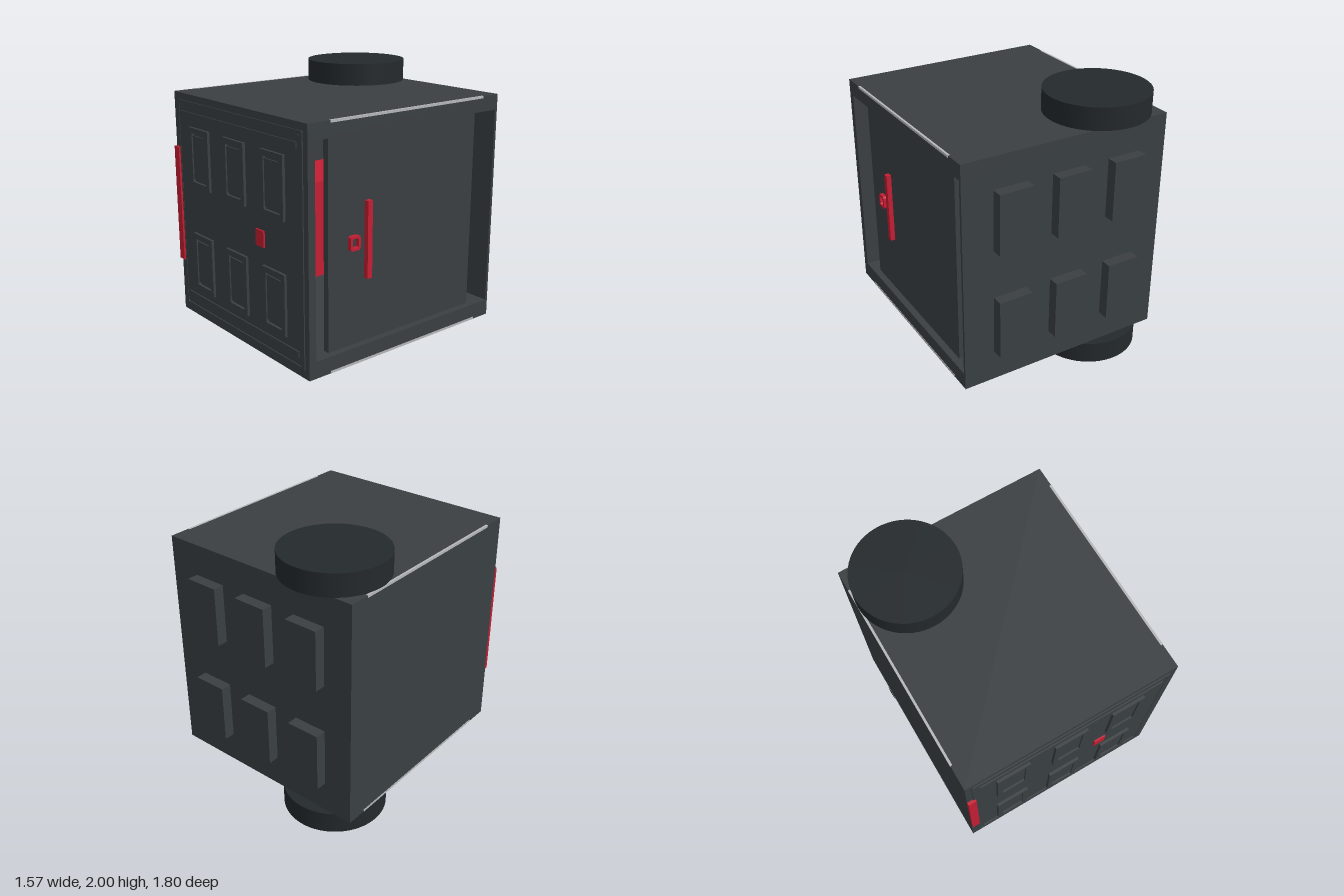
import * as THREE from 'three';

const mat = (color) => new THREE.MeshStandardMaterial({ color });
const shellMat = mat(0x3a3f42), discMat = mat(0x24292c), redMat = mat(0xc41e33), trimMat = mat(0xb4b6b8);

// Rectangle outline with rounded corners, centred on the origin
function roundRect(w, h, r, Path = THREE.Shape) {
  const p = new Path(), x = w / 2, y = h / 2;
  p.moveTo(-x + r, -y);
  p.lineTo(x - r, -y).quadraticCurveTo(x, -y, x, -y + r);
  p.lineTo(x, y - r).quadraticCurveTo(x, y, x - r, y);
  p.lineTo(-x + r, y).quadraticCurveTo(-x, y, -x, y - r);
  p.lineTo(-x, -y + r).quadraticCurveTo(-x, -y, -x + r, -y);
  return p;
}

// Flat frame of the given depth, lying in the xy plane
function frameGeometry(w, h, border, depth, r) {
  const shape = roundRect(w, h, r);
  shape.holes.push(roundRect(w - 2 * border, h - 2 * border, r * 0.7, THREE.Path));
  return new THREE.ExtrudeGeometry(shape, { depth, bevelEnabled: false, curveSegments: 5 });
}

export function createModel() {
  const model = new THREE.Group();
  const add = (name, geometry, material, x = 0, y = 0, z = 0) => {
    const mesh = new THREE.Mesh(geometry, material);
    mesh.name = name;
    mesh.position.set(x, y, z);
    model.add(mesh);
    return mesh;
  };
  // Box given by its limits on each axis
  const box = (name, material, [x0, x1], [y0, y1], [z0, z1]) =>
    add(name, new THREE.BoxGeometry(x1 - x0, y1 - y0, z1 - z0), material,
      (x0 + x1) / 2, (y0 + y1) / 2, (z0 + z1) / 2);

  // Hollow cabin, open on its left side
  const X = [-0.785, 0.785], Z = [-0.82, 0.875];
  box('floor', shellMat, X, [0.16, 0.28], Z);
  box('roof', shellMat, X, [1.73, 1.84], Z);
  box('frontWall', shellMat, X, [0.28, 1.73], [0.82, 0.875]);
  box('backWall', shellMat, X, [0.28, 1.73], [-0.82, -0.8]);
  box('sideWall', shellMat, [-0.785, -0.73], [0.28, 1.73], [-0.8, 0.82]);

  // Pale trim along the long side edges
  for (const s of [-1, 1])
    for (const y of [0.168, 1.833])
      box('edgeTrim', trimMat, [s * 0.779 - 0.008, s * 0.779 + 0.008],
        [y - 0.0085, y + 0.0085], [-0.67, 0.7]);

  // Sliding door with handle and latch ring
  box('slidingDoor', shellMat, [0.69, 0.735], [0.28, 1.73], [-0.645, 0.68]);
  box('doorHandle', redMat, [0.735, 0.77], [0.735, 1.27], [0.335, 0.375]);
  const latch = add('doorLatch', frameGeometry(0.085, 0.1, 0.017, 0.03, 0.02), redMat, 0.735, 1.003, 0.475);
  latch.rotation.y = Math.PI / 2;

  // Block inside the cabin
  box('innerBlock', redMat, [-0.25, 0.25], [0.6, 1.29], [-0.25, 0.5]);

  // Raised mouldings on the front
  add('frontRim', frameGeometry(1.48, 1.58, 0.025, 0.008, 0.012), shellMat, 0, 1, 0.875);
  add('frontPlate', new THREE.ExtrudeGeometry(roundRect(1.43, 1.52, 0.03),
    { depth: 0.005, bevelEnabled: false }), shellMat, 0, 1.005, 0.875);
  for (const y of [0.313, 1.693])
    box('frontBar', shellMat, [-0.69, 0.685], [y - 0.022, y + 0.022], [0.875, 0.889]);

  // Panels: framed on the front, solid blocks on the back
  for (const x of [-0.442, -0.004, 0.435])
    for (const y of [0.608, 1.397]) {
      add('frontPanelFrame', frameGeometry(0.25, 0.434, 0.039, 0.02, 0.001), shellMat, x, y, 0.88);
      box('frontPanelInset', shellMat, [x - 0.086, x + 0.086], [y - 0.159, y + 0.159], [0.875, 0.89]);
      box('backPanel', shellMat, [x - 0.125, x + 0.125], [y - 0.217, y + 0.217], [-0.9, -0.82]);
    }

  // Red front fittings
  box('frontGrip', redMat, [-0.785, -0.725], [0.57, 1.44], [0.87, 0.897]);
  box('frontButton', redMat, [0.235, 0.325], [0.945, 1.06], [0.875, 0.892]);

  // Round discs above and below
  for (const [name, y] of [['topDisc', 1.92], ['bottomDisc', 0.08]])
    add(name, new THREE.CylinderGeometry(0.371, 0.371, 0.16, 64), discMat, -0.415, y, -0.53);

  return model;
}
